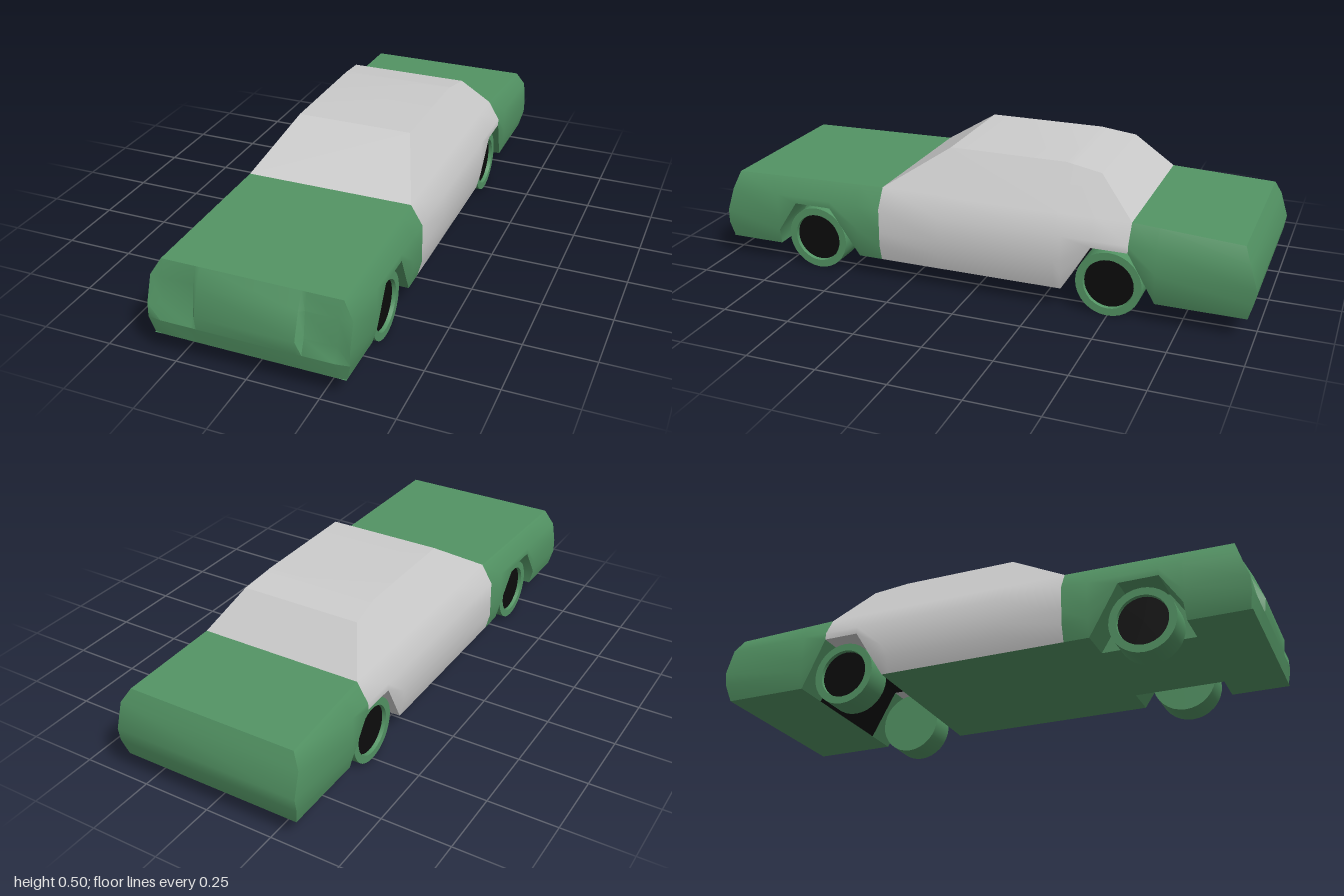
import * as THREE from 'three';
import { toCreasedNormals } from 'three/addons/utils/BufferGeometryUtils.js';

const paint = (color) => new THREE.MeshStandardMaterial({ color, side: THREE.DoubleSide });
const green = paint(0x539464);
const grey = paint(0xcccccc);
const black = paint(0x0c0c0c);

// Half width of the body at height y
const WIDTHS = [[0.08, 0.332], [0.14, 0.347], [0.28, 0.345], [0.35, 0.303], [0.5, 0.212]];
function halfWidth(y) {
  for (let i = 1; i < WIDTHS.length; i++) {
    const [y0, w0] = WIDTHS[i - 1], [y1, w1] = WIDTHS[i];
    if (y <= y1) return THREE.MathUtils.mapLinear(y, y0, y1, w0, w1);
  }
  return 0.212;
}

// Surface through rows of points, skipping collapsed triangles
function skin(name, rows, material) {
  const pos = [];
  const tri = (...p) => {
    const [a, b, c] = p.map((q) => new THREE.Vector3(...q));
    if (b.clone().sub(a).cross(c.clone().sub(a)).length() > 1e-7) pos.push(...p.flat());
  };
  for (let r = 0; r + 1 < rows.length; r++) {
    for (let i = 0; i + 1 < rows[r].length; i++) {
      const a = rows[r][i], b = rows[r][i + 1], c = rows[r + 1][i], d = rows[r + 1][i + 1];
      tri(a, c, b);
      tri(b, c, d);
    }
  }
  const geo = new THREE.BufferGeometry();
  geo.setAttribute('position', new THREE.Float32BufferAttribute(pos, 3));
  const mesh = new THREE.Mesh(toCreasedNormals(geo, 0.565), material);
  mesh.name = name;
  return mesh;
}

// Body section from the left sill over the top to the right sill; z may differ per height
function section(z, top, sill = 0.08) {
  const ys = [0.08, 0.14, 0.19, 0.28, Math.min(top, 0.35), top].map((y) => Math.max(y, sill));
  const half = ys.map((y, i) => [halfWidth(y), y, Array.isArray(z) ? z[i] : z]);
  return [...half, ...half.map(([x, y, zz]) => [-x, y, zz]).reverse()];
}

// z of the nose and tail at each section height
const CORNER_Z = [0.975, 0.985, 0.985, 0.955, 0.94, 0.94];
const LAMP_Z = [0.98, 0.992, 0.972, 0.957, 0.94];
const NOSE_Z = [0.98, 0.993, 1.0, 0.968, 0.94];
const TAIL_Z = [-0.975, -0.992, -1.0, -0.972, -0.95, -0.95];
const NOSE_TOP = 0.338, TAIL_TOP = 0.33;

// Wheel arch outlines as [z, y]
const FRONT_ARCH = [[0.77, 0.08], [0.765, 0.14], [0.69, 0.255], [0.55, 0.255], [0.44, 0.08]];
const REAR_ARCH = [[-0.335, 0.08], [-0.44, 0.255], [-0.57, 0.255], [-0.665, 0.08]];
const WELL = 0.2;

function makeWheel(x, z) {
  const side = Math.sign(x), wheel = new THREE.Group();
  wheel.name = 'wheel';
  const profile = [[0, -0.054], [0.117, -0.054], [0.117, 0.054], [0.09, 0.054], [0.088, 0.035]]
    .map(([r, h]) => new THREE.Vector2(r, h));
  const lathe = toCreasedNormals(new THREE.LatheGeometry(profile, 32).toNonIndexed(), 0.5);
  const tyre = new THREE.Mesh(lathe, green);
  tyre.name = 'tyre';
  const hub = new THREE.Mesh(new THREE.CircleGeometry(0.089, 32), black);
  hub.name = 'hub';
  hub.rotation.x = -Math.PI / 2;
  hub.position.y = 0.04;
  wheel.add(tyre, hub);
  wheel.rotation.z = -side * Math.PI / 2;
  wheel.position.set(x, 0.118, z);
  return wheel;
}

export function createModel() {
  const car = new THREE.Group();
  car.name = 'car';

  // Hood section, cabin and trunk section
  car.add(skin('hoodBody', [
    section(CORNER_Z, NOSE_TOP),
    ...FRONT_ARCH.map(([z, y]) => section(z, 0.357 - z * 0.02, y)),
    section(0.35, 0.35),
  ], green));
  car.add(skin('cabin', [
    section(0.35, 0.35), section(0.12, 0.5), section(-0.31, 0.5), section(-0.335, 0.496),
    section(-0.44, 0.48, 0.255), section(-0.57, 0.35, 0.255),
  ], grey));
  car.add(skin('trunkBody', [
    section(-0.57, 0.35, 0.255), section(-0.665, 0.345), section(TAIL_Z, TAIL_TOP),
  ], green));

  // Nose with a recessed lamp bay at each side
  const noseY = [0.08, 0.14, 0.19, 0.28, NOSE_TOP];
  const column = (x, zs) => noseY.map((y, i) => [x === null ? halfWidth(y) : x, y, zs[i]]);
  const halfNose = [column(0.172, NOSE_Z), column(0.19, LAMP_Z), column(0.3, LAMP_Z), column(null, CORNER_Z)];
  const mirrored = halfNose.map((c) => c.map(([x, y, z]) => [-x, y, z])).reverse();
  car.add(skin('nose', [...mirrored, ...halfNose], green));

  // Tail panel
  const tailY = [0.08, 0.14, 0.19, 0.28, TAIL_TOP];
  car.add(skin('tail', [1, -1].map((s) => tailY.map((y, i) => [s * halfWidth(y), y, TAIL_Z[i]])), green));

  // Floor, notched around the front wheels and open across the rear axle
  const floor = (name, outline) =>
    car.add(skin(name, outline.map(([z, w]) => [[-w, 0.08, z], [w, 0.08, z]]), green));
  floor('frontFloor', [[0.98, 0.332], [0.77, 0.332], [0.77, WELL], [0.44, WELL], [0.44, 0.332], [-0.335, 0.332]]);
  floor('rearFloor', [[-0.665, 0.332], [-0.975, 0.332]]);

  // Wheel arch liners
  for (const s of [1, -1]) {
    const liner = (arch) => arch.map(([z, y]) => {
      const edge = [[s * WELL, y, z], [s * halfWidth(y), y, z]];
      return s > 0 ? edge : edge.reverse();
    });
    car.add(skin('frontArch', liner(FRONT_ARCH), green));
    car.add(skin('rearArchFront', liner(REAR_ARCH.slice(0, 3)), grey));
    car.add(skin('rearArchBack', liner(REAR_ARCH.slice(2)), green));
    const wall = FRONT_ARCH.map(([z, y]) => [[s * WELL, 0.08, z], [s * WELL, y, z]]);
    car.add(skin('frontWellWall', s > 0 ? wall : wall.reverse(), green));
    for (const z of [0.62, -0.5]) car.add(makeWheel(s * 0.266, z));
  }
  car.add(skin('axleTunnel', REAR_ARCH.map(([z, y]) => [[-WELL, y, z], [WELL, y, z]]), black));

  return car;
}
